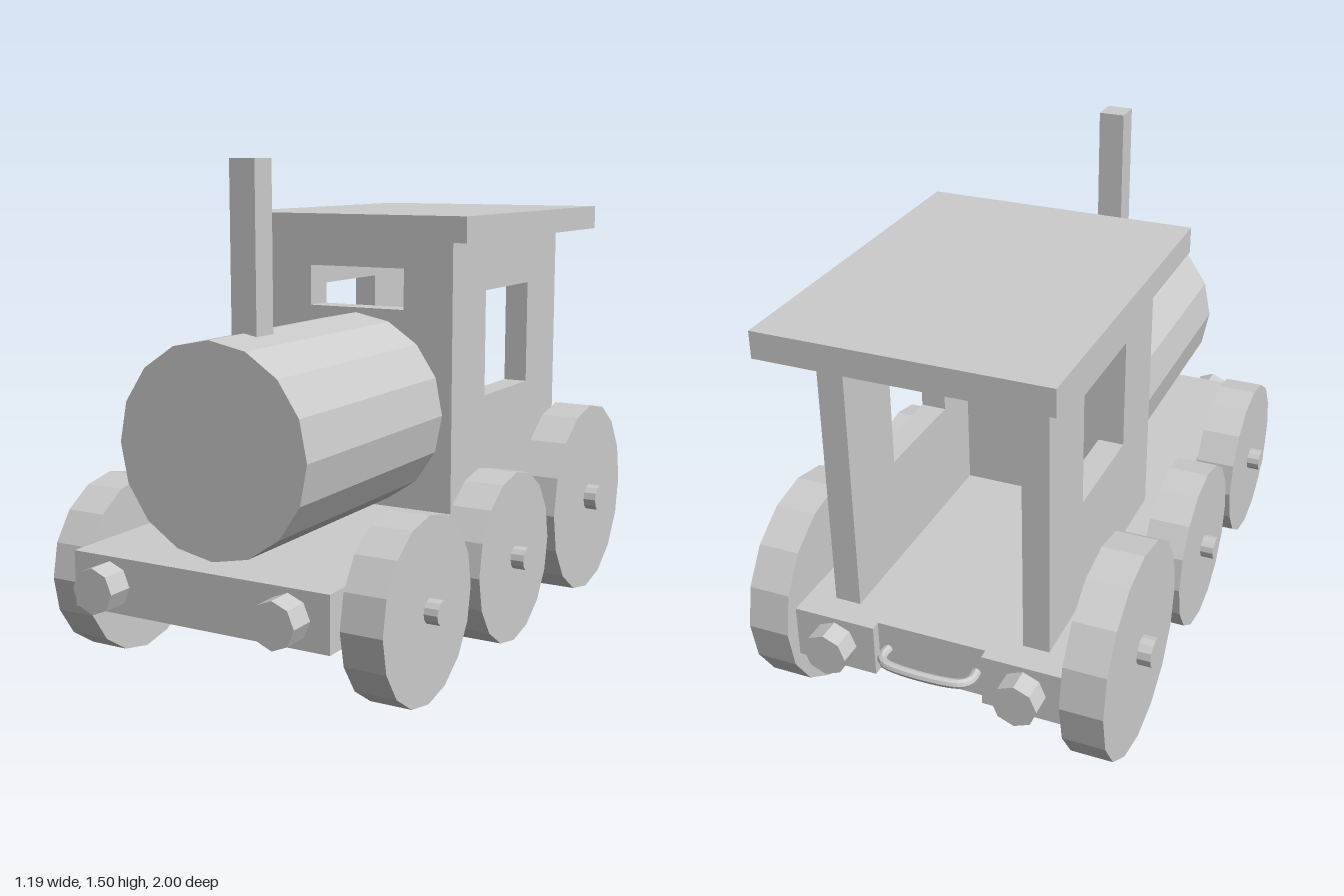
import * as THREE from 'three';

const material = new THREE.MeshStandardMaterial({ color: 0xcccccc, flatShading: true });

export function createModel() {
  const group = new THREE.Group();

  const add = (name, geometry, x = 0, y = 0, z = 0) => {
    const mesh = new THREE.Mesh(geometry, material);
    mesh.name = name;
    mesh.position.set(x, y, z);
    group.add(mesh);
    return mesh;
  };
  // Box given by its limits
  const box = (name, x0, x1, y0, y1, z0, z1) =>
    add(name, new THREE.BoxGeometry(x1 - x0, y1 - y0, z1 - z0), (x0 + x1) / 2, (y0 + y1) / 2, (z0 + z1) / 2);
  const rodX = (r, length, sides) => new THREE.CylinderGeometry(r, r, length, sides).rotateZ(Math.PI / 2);
  const rodZ = (r, length, sides) => new THREE.CylinderGeometry(r, r, length, sides).rotateX(Math.PI / 2);
  const polygon = (points) => points.map(([x, y]) => new THREE.Vector2(x, y));
  const rect = (x0, x1, y0, y1) => polygon([[x0, y0], [x1, y0], [x1, y1], [x0, y1]]);
  // Upright panel with a rectangular window
  const panel = (outer, hole, depth) => {
    const shape = new THREE.Shape(rect(...outer));
    shape.holes.push(new THREE.Path(rect(...hole).reverse()));
    return new THREE.ExtrudeGeometry(shape, { depth, bevelEnabled: false });
  };

  // Chassis with a shallow notch at the back
  const plan = new THREE.Shape(polygon([
    [-0.425, -0.92], [0.425, -0.92], [0.425, 0.92], [0.17, 0.92],
    [0.17, 0.89], [-0.17, 0.89], [-0.17, 0.92], [-0.425, 0.92],
  ]));
  add('chassis', new THREE.ExtrudeGeometry(plan, { depth: 0.165, bevelEnabled: false }).rotateX(-Math.PI / 2), 0, 0.22, 0);

  // Boiler and chimney
  add('boiler', rodZ(0.31, 0.81, 16), 0, 0.7, 0.435);
  box('chimney', -0.042, 0.042, 0.98, 1.495, 0.582, 0.668);

  // Cab: windowed sides and front, open back, flat roof
  const t = 0.08;
  for (const side of [-1, 1]) {
    const wall = panel([-0.025, 0.83, 0.385, 1.245], [0.225, 0.575, 0.73, 1.075], t).rotateY(Math.PI / 2);
    add(side > 0 ? 'cabWallLeft' : 'cabWallRight', wall, side > 0 ? 0.34 - t : -0.34, 0, 0);
  }
  add('cabFrontWall', panel([-0.34 + t, 0.34 - t, 0.385, 1.245], [-0.17, 0.17, 1.025, 1.155], t), 0, 0, 0.025 - t);
  box('cabRearLintel', -0.34 + t, 0.34 - t, 1.165, 1.245, -0.83, -0.83 + t);
  box('roof', -0.425, 0.425, 1.245, 1.325, -1, 0.11);

  // Wheels and axles: z position, wheel radius, axle radius
  for (const [z, r, axle] of [[0.6, 0.27, 0.036], [0, 0.27, 0.036], [-0.65, 0.325, 0.044]]) {
    add('axle', rodX(axle, 1.19, 12), 0, r, z);
    for (const side of [-1, 1]) {
      add(side > 0 ? 'wheelLeft' : 'wheelRight', rodX(r, 0.128, 16), side * 0.489, r, z);
    }
  }

  // Buffers at both ends
  for (const side of [-1, 1]) {
    add('frontBuffer', rodZ(0.068, 0.08, 8), side * 0.297, 0.303, 0.96);
    add('rearBuffer', rodZ(0.068, 0.07, 8), side * 0.297, 0.303, -0.955);
  }

  // Towing handle in the rear notch
  const handle = new THREE.CatmullRomCurve3(
    [[-0.14, -0.88], [-0.14, -0.93], [-0.115, -0.955], [0.115, -0.955], [0.14, -0.93], [0.14, -0.88]]
      .map(([x, z]) => new THREE.Vector3(x, 0.3, z)), false, 'centripetal');
  add('towHandle', new THREE.TubeGeometry(handle, 32, 0.014, 8));

  return group;
}
